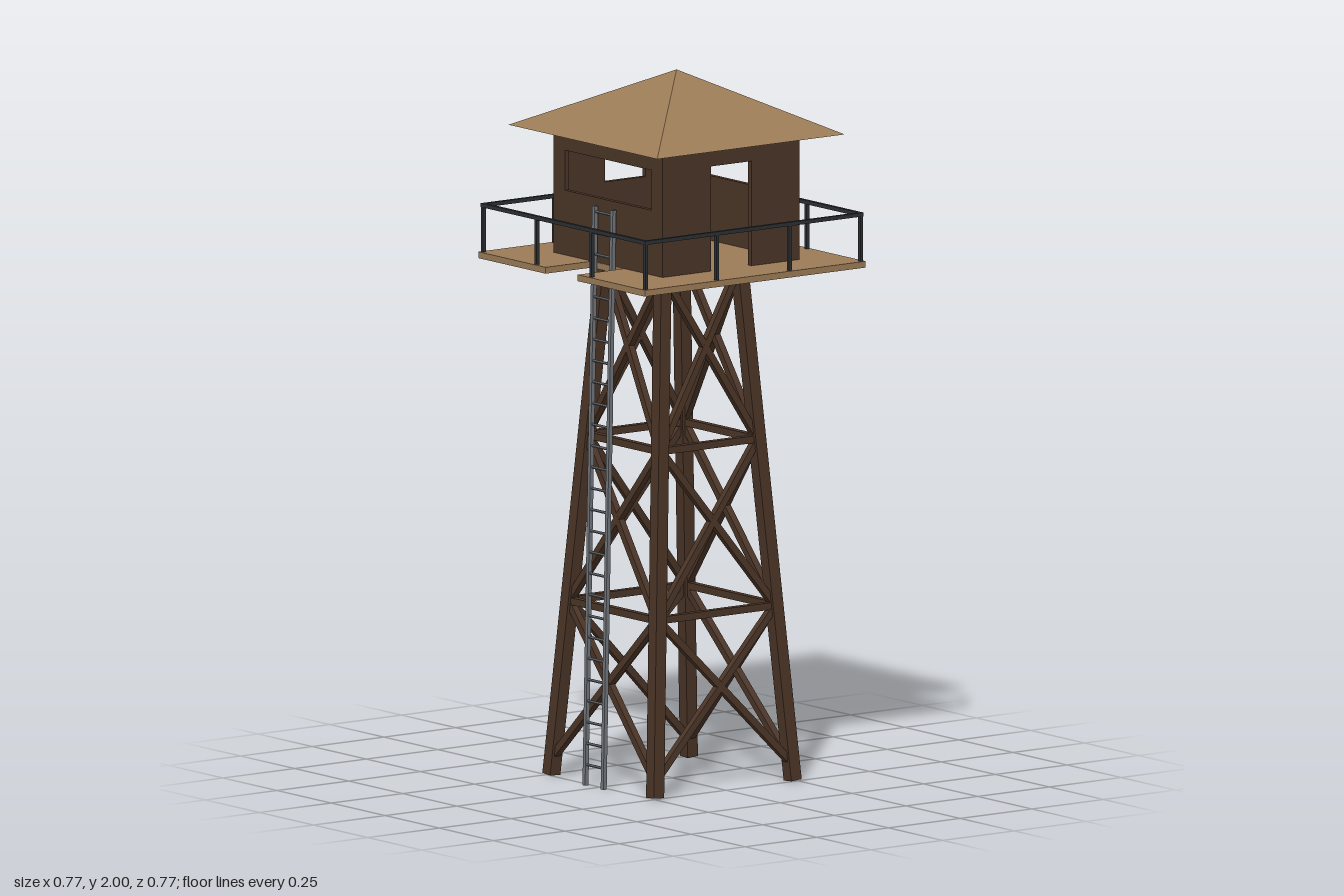
import * as THREE from 'three';

const mat = (color) => new THREE.MeshStandardMaterial({ color, flatShading: true });
const tan = mat(0x9b7b57), wood = mat(0x4a3426), iron = mat(0x2b2f33), steel = mat(0x70757a);
const V = (x, y, z) => new THREE.Vector3(x, y, z);
const UP = V(0, 1, 0);

function add(parent, name, geometry, material) {
  const mesh = new THREE.Mesh(geometry, material);
  mesh.name = name;
  parent.add(mesh);
  return mesh;
}

// Straight member between two points: square beam, or round pole if sides are given
function member(parent, name, a, b, size, material, sides = 0) {
  const length = a.distanceTo(b);
  const geo = sides
    ? new THREE.CylinderGeometry(size / 2, size / 2, length, sides)
    : new THREE.BoxGeometry(size, length, size);
  const mesh = add(parent, name, geo, material);
  mesh.position.copy(a).add(b).multiplyScalar(0.5);
  mesh.quaternion.setFromUnitVectors(UP, b.clone().sub(a).normalize());
}

const rect = (Type, x0, y0, x1, y1) =>
  new Type([[x0, y0], [x1, y0], [x1, y1], [x0, y1]].map(([x, y]) => new THREE.Vector2(x, y)));

function group(parent, name) {
  const g = new THREE.Group();
  g.name = name;
  parent.add(g);
  return g;
}

const DECK_Y = 1.473, DECK = 0.385, CABIN_Z = -0.016;
const legOffset = (y) => 0.24 - 0.0733 * y;

function buildTower(root) {
  const tower = group(root, 'tower');
  for (const sx of [-1, 1]) for (const sz of [-1, 1]) {
    const at = (y) => V(sx * legOffset(y), y, sz * legOffset(y));
    member(tower, 'leg', at(0.002), at(1.46), 0.036, wood);
  }
  // Girts and crossed braces, repeated on all four sides
  const levels = [0.05, 0.495, 0.965, 1.455];
  for (let i = 0; i < 4; i++) {
    const side = group(tower, 'bracedSide');
    side.rotation.y = i * Math.PI / 2;
    const at = (s, y) => V(s * legOffset(y), y, legOffset(y));
    levels.forEach((y, k) => {
      if (k === 1 || k === 2) member(side, 'girt', at(-1, y), at(1, y), 0.02, wood);
      if (k < 3) for (const s of [-1, 1])
        member(side, 'crossBrace', at(-s, y), at(s, levels[k + 1]), 0.02, wood);
    });
  }
}

function buildDeck(root) {
  // Deck outline with the ladder notch at the front
  const n = 0.074, inner = 0.225;
  const outline = new THREE.Shape([
    [-DECK, -DECK], [-n, -DECK], [-n, -inner], [n, -inner], [n, -DECK],
    [DECK, -DECK], [DECK, DECK], [-DECK, DECK],
  ].map(([x, y]) => new THREE.Vector2(x, y)));
  const geo = new THREE.ExtrudeGeometry(outline, { depth: 0.018, bevelEnabled: false });
  geo.rotateX(-Math.PI / 2);
  add(root, 'deck', geo, tan).position.y = DECK_Y - 0.018;

  // Railing
  const r = 0.375, top = 1.605;
  for (let i = 0; i < 4; i++) {
    const side = group(root, 'railing');
    side.rotation.y = i * Math.PI / 2;
    member(side, 'handrail', V(-r - 0.005, top, r), V(r + 0.005, top, r), 0.011, iron);
    for (const x of [-r, -0.127, 0.127])
      member(side, 'railPost', V(x, DECK_Y, r), V(x, top, r), 0.01, iron);
  }
}

function buildCabin(root) {
  const cabin = group(root, 'cabin');
  cabin.position.set(0, DECK_Y, CABIN_Z);
  const H = 0.355, T = 0.015, W = 0.252, D = 0.239, sill = 0.183, head = 0.296;
  const wall = (name, half, open, bottom, x, z, turn) => {
    let shape;
    if (bottom > 0) {
      shape = rect(THREE.Shape, -half, 0, half, H);
      shape.holes.push(rect(THREE.Path, -open, bottom, open, head));
    } else {
      shape = new THREE.Shape([
        [-half, 0], [-open, 0], [-open, head], [open, head], [open, 0],
        [half, 0], [half, H], [-half, H],
      ].map(([a, b]) => new THREE.Vector2(a, b)));
    }
    const geo = new THREE.ExtrudeGeometry(shape, { depth: T, bevelEnabled: false });
    geo.translate(0, 0, -T);
    const mesh = add(cabin, name, geo, wood);
    mesh.position.set(x, 0, z);
    mesh.rotation.y = turn;
  };
  wall('frontWall', W, 0.2, sill, 0, D, 0);
  wall('backWall', W, 0.2, sill, 0, -D, Math.PI);
  wall('doorWall', D - T, 0.071, 0, W, 0, Math.PI / 2);
  wall('windowWall', D - T, 0.071, sill, -W, 0, -Math.PI / 2);

  // Pyramid roof with a closed underside
  const roof = new THREE.ConeGeometry(Math.SQRT1_2, 0.17, 4);
  roof.rotateY(Math.PI / 4);
  roof.scale(0.687, 1, 0.654);
  add(cabin, 'roof', roof, tan).position.y = 2 - 0.085 - DECK_Y;
}

function buildLadder(root) {
  const ladder = group(root, 'ladder');
  const z = (y) => 0.27 - 0.0205 * y;
  for (const s of [-1, 1])
    member(ladder, 'ladderRail', V(s * 0.042, 0.001, z(0)), V(s * 0.042, 1.635, z(1.635)), 0.012, steel);
  for (let i = 1; i <= 27; i++) {
    const y = i * 0.06;
    member(ladder, 'rung', V(-0.042, y, z(y)), V(0.042, y, z(y)), 0.008, steel, 6);
  }
}

export function createModel() {
  const root = new THREE.Group();
  root.name = 'watchtower';
  buildTower(root);
  buildDeck(root);
  buildCabin(root);
  buildLadder(root);
  return root;
}
